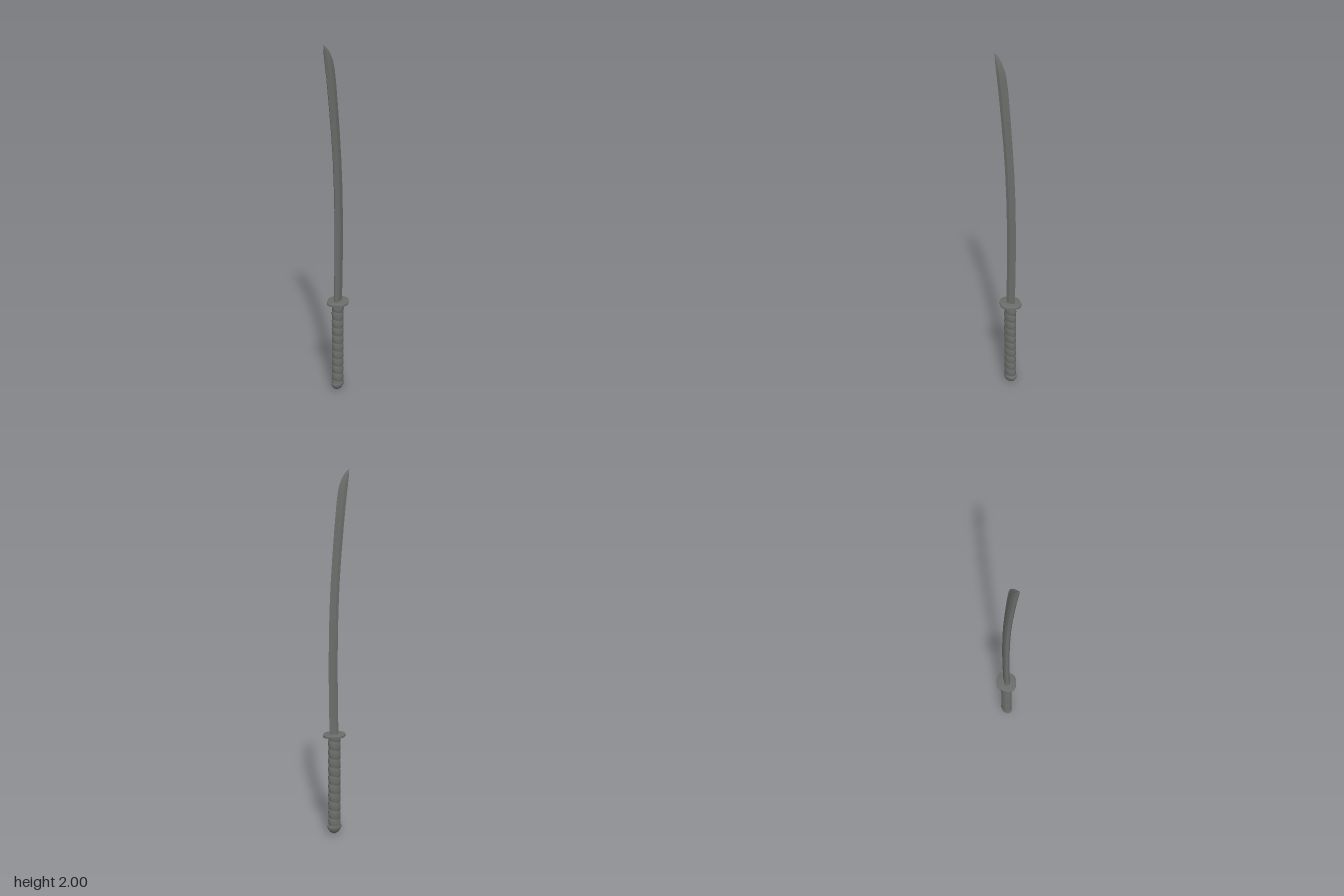
import * as THREE from 'three';
import { mergeVertices, toCreasedNormals } from 'three/addons/utils/BufferGeometryUtils.js';

const CX = 0.014; // centre line of the handle

// Curved blade lofted from six-sided sections: ridged spine at -x, cutting edge at +x
function bladeGeometry() {
  // height, spine x, edge x, half thickness
  const rings = [
    [0.57, -0.013, 0.047, 0.014], [0.75, -0.009, 0.051, 0.014], [0.95, -0.007, 0.053, 0.014],
    [1.1, -0.008, 0.051, 0.014], [1.25, -0.012, 0.047, 0.014], [1.4, -0.019, 0.039, 0.014],
    [1.55, -0.031, 0.027, 0.014], [1.7, -0.047, 0.013, 0.014], [1.82, -0.061, 0.0, 0.014],
    [1.88, -0.069, -0.009, 0.014], [1.92, -0.074, -0.02, 0.0135], [1.96, -0.079, -0.041, 0.0105],
    [1.985, -0.082, -0.062, 0.006], [2, -0.083, -0.083, 0],
  ];
  const section = [[0, 0], [0.16, 1], [0.45, 1], [1, 0], [0.45, -1], [0.16, -1]];
  const n = section.length;
  const pos = [], index = [];
  rings.forEach(([y, a, b, t]) => section.forEach(([u, s]) => pos.push(a + (b - a) * u, y, s * t)));
  for (let i = 0; i < rings.length - 1; i++) {
    for (let j = 0; j < n; j++) {
      const a = i * n + j, b = i * n + (j + 1) % n;
      index.push(a, b, b + n);
      if (i < rings.length - 2) index.push(a, b + n, a + n);
    }
  }
  for (let j = 1; j < n - 1; j++) index.push(0, j + 1, j);
  const g = new THREE.BufferGeometry();
  g.setAttribute('position', new THREE.Float32BufferAttribute(pos, 3));
  g.setIndex(index);
  return toCreasedNormals(g, 0.25);
}

// Oval grip whose surface swells into one spiral of cord
function gripGeometry(y0, y1) {
  const g = new THREE.CylinderGeometry(1, 1, y1 - y0, 40, 150, true);
  g.translate(0, (y0 + y1) / 2, 0);
  const p = g.attributes.position;
  for (let i = 0; i < p.count; i++) {
    const angle = Math.atan2(p.getZ(i), p.getX(i));
    const phase = p.getY(i) / 0.05 - angle / (2 * Math.PI);
    const r = 0.88 + 0.14 * Math.sqrt(Math.abs(Math.sin(Math.PI * phase)));
    p.setXYZ(i, 0.037 * r * Math.cos(angle), p.getY(i), 0.029 * r * Math.sin(angle));
  }
  g.deleteAttribute('uv');
  g.deleteAttribute('normal');
  const merged = mergeVertices(g, 1e-5);
  merged.computeVertexNormals();
  return merged;
}

// Four-lobed hand guard with softly rounded rim
function guardGeometry() {
  const quarter = [[0.068, 0], [0.059, 0.026], [0.038, 0.045], [0.02, 0.057]];
  const outline = [
    ...quarter, [0, 0.06],
    ...quarter.slice(1).reverse().map(([x, z]) => [-x, z]), [-0.068, 0],
    ...quarter.slice(1).map(([x, z]) => [-x, -z]), [0, -0.06],
    ...quarter.slice(1).reverse().map(([x, z]) => [x, -z]),
  ].map(([x, z]) => new THREE.Vector3(x, z, 0));
  const curve = new THREE.CatmullRomCurve3(outline, true);
  const shape = new THREE.Shape(curve.getPoints(64).slice(0, 64).map(v => new THREE.Vector2(v.x, v.y)));
  const g = new THREE.ExtrudeGeometry(shape, {
    depth: 0.008, bevelEnabled: true, bevelThickness: 0.002, bevelSize: 0.002, bevelOffset: -0.002, bevelSegments: 2,
  });
  g.rotateX(-Math.PI / 2);
  return toCreasedNormals(g, 0.6);
}

// Domed end cap, stretched to the oval of the grip
function pommelGeometry() {
  const profile = [[0, 0], [0.014, 0.003], [0.027, 0.012], [0.037, 0.025], [0.042, 0.036],
    [0.042, 0.046], [0.038, 0.053], [0.03, 0.056], [0, 0.056]].map(([r, y]) => new THREE.Vector2(r, y));
  const g = new THREE.LatheGeometry(profile, 36);
  g.scale(1, 1, 0.74);
  return toCreasedNormals(g, 0.8);
}

export function createModel() {
  const steel = new THREE.MeshStandardMaterial({ color: 0x6a6d69 });
  steel.name = 'grey steel';
  const group = new THREE.Group();
  group.name = 'sword';
  const add = (name, geometry, x = 0, y = 0) => {
    const mesh = new THREE.Mesh(geometry, steel);
    mesh.name = name;
    mesh.position.set(x, y, 0);
    group.add(mesh);
  };
  add('blade', bladeGeometry());
  add('guard', guardGeometry(), 0.015, 0.57);
  add('wrappedGrip', gripGeometry(0.045, 0.572), CX);
  add('pommel', pommelGeometry(), CX);
  return group;
}
